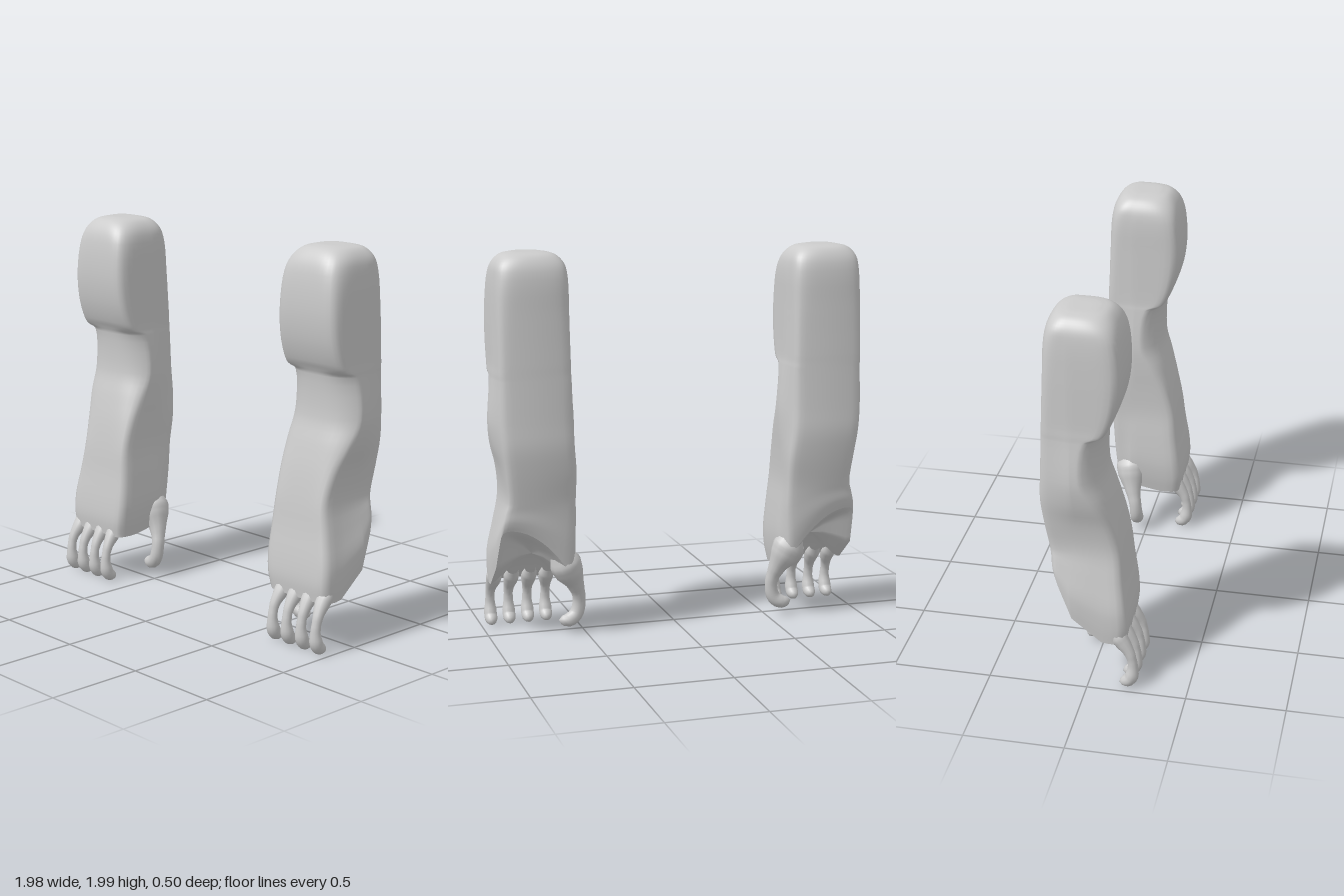
import * as THREE from 'three';
import { mergeVertices } from 'three/addons/utils/BufferGeometryUtils.js';

const PER_SIDE = 14, COLS = PER_SIDE * 4, STEPS = 4;

// Arm sections, top to bottom: y, inner x, outer x, front z, back z, front corner z
const SECTIONS = [
  [2.0, 0.71, 0.86, 0.03, -0.11, 0.03],
  [1.985, 0.645, 0.915, 0.085, -0.165, 0.08],
  [1.94, 0.605, 0.952, 0.125, -0.2, 0.12],
  [1.87, 0.588, 0.966, 0.148, -0.218, 0.145],
  [1.7, 0.584, 0.972, 0.16, -0.225, 0.155],
  [1.55, 0.582, 0.972, 0.143, -0.23, 0.138],
  [1.44, 0.58, 0.972, 0.108, -0.234, 0.1],
  [1.4, 0.578, 0.974, 0.085, -0.235, 0.07],
  [1.37, 0.574, 0.975, 0.072, -0.236, 0.005],
  [1.16, 0.555, 0.992, 0.065, -0.245, -0.02],
  [1.03, 0.558, 0.974, 0.098, -0.25, 0.04],
  [0.9, 0.567, 0.937, 0.128, -0.237, 0.1],
  [0.75, 0.572, 0.92, 0.152, -0.212, 0.146],
  [0.6, 0.56, 0.945, 0.168, -0.203, 0.163],
  [0.45, 0.552, 0.974, 0.188, -0.198, 0.183],
  [0.35, 0.56, 0.976, 0.194, -0.19, 0.19],
  [0.265, 0.576, 0.97, 0.185, -0.18, 0.18],
];

// Rounded square walked from the front inner corner towards the outer side
function squarePoint(j, n) {
  const side = Math.floor(j / PER_SIDE) % 4, f = (j % PER_SIDE) / PER_SIDE * 2 - 1;
  const [a, b] = [[f, 1], [1, -f], [-f, -1], [-1, f]][side];
  const k = Math.pow(Math.abs(a) ** n + Math.abs(b) ** n, -1 / n);
  return [a * k, b * k];
}

function sectionPoint([y, xi, xo, zf, zb, zc], j) {
  // corners get sharper below the domed top
  const [u, v] = squarePoint(j, Math.min(14, 3 + (2 - y) * 20));
  const mid = -0.08, half = (xo - xi) / 2;
  // the back is narrower than the front and bulges a little in the middle
  const width = THREE.MathUtils.lerp(half, Math.min(half, 0.18), Math.max(0, -v));
  const front = zf - (zf - zc) * Math.abs(u) ** 3, back = zb + 0.015 * u * u;
  // below the wrist the back rises, more on the outer side, to open the palm
  const hand = Math.max(0, (0.75 - y) / 0.485);
  const lift = hand * (THREE.MathUtils.lerp(0.08, 0.335, (u + 1) / 2) + 0.08 * (1 - u * u));
  return new THREE.Vector3(
    (xi + xo) / 2 + u * width,
    y + lift * Math.max(0, (0.6 - v) / 1.6),
    mid + v * (v > 0 ? front - mid : mid - back));
}

// Skin through rings listed from top to bottom
function skin(rings) {
  const pos = rings.flat().flatMap(p => [p.x, p.y, p.z]), index = [];
  for (let i = 0; i < rings.length - 1; i++)
    for (let j = 0; j < COLS; j++) {
      const k = (j + 1) % COLS;
      const a = i * COLS + j, b = i * COLS + k, c = a + COLS, d = b + COLS;
      index.push(a, c, b, b, c, d);
    }
  const g = new THREE.BufferGeometry();
  g.setAttribute('position', new THREE.Float32BufferAttribute(pos, 3));
  g.setIndex(index);
  return g;
}

const shrink = (ring, centre, t, lift = 0) =>
  ring.map(p => p.clone().lerp(centre, t).add(new THREE.Vector3(0, lift, 0)));

// Tapered limb along a curve with interpolated radii and a rounded tip
function limb(points, radii) {
  const curve = new THREE.CatmullRomCurve3(points.map(p => new THREE.Vector3(...p)));
  const seg = 28, radial = 12;
  const g = new THREE.TubeGeometry(curve, seg, 1, radial);
  const p = g.attributes.position, v = new THREE.Vector3();
  for (let i = 0; i <= seg; i++) {
    const t = i / seg, s = t * (radii.length - 1), n = Math.min(Math.floor(s), radii.length - 2);
    const tip = Math.sqrt(Math.max(0, 1 - Math.max(0, (t - 0.86) / 0.14) ** 2));
    const r = THREE.MathUtils.lerp(radii[n], radii[n + 1], s - n) * tip;
    const c = curve.getPointAt(t);
    for (let j = 0; j <= radial; j++) {
      const q = i * (radial + 1) + j;
      v.fromBufferAttribute(p, q).sub(c).multiplyScalar(r).add(c);
      p.setXYZ(q, v.x, v.y, v.z);
    }
  }
  g.deleteAttribute('uv');
  g.deleteAttribute('normal');
  return mergeVertices(g, 1e-5);
}

function mirrored(source) {
  const g = source.clone().scale(-1, 1, 1), idx = g.index.array;
  for (let i = 0; i < idx.length; i += 3) [idx[i], idx[i + 1]] = [idx[i + 1], idx[i]];
  return g;
}

function armParts() {
  // Smooth curve down every column of the arm
  const columns = Array.from({ length: COLS }, (_, j) =>
    new THREE.CatmullRomCurve3(SECTIONS.map(s => sectionPoint(s, j))));
  const rows = (SECTIONS.length - 1) * STEPS;
  const rings = Array.from({ length: rows + 1 }, (_, i) => columns.map(c => c.getPoint(i / rows)));

  // Closed crown and hollow palm
  const crown = new THREE.Vector3(0.785, 2.0, -0.04);
  const body = skin([shrink(rings[0], crown, 1), shrink(rings[0], crown, 0.5), ...rings]);
  const rim = rings[rows], hollow = new THREE.Vector3(0.77, 0.44, -0.01);
  const palm = skin([rim, shrink(rim, hollow, 0.12, -0.006), shrink(rim, hollow, 0.35, 0.005),
    shrink(rim, hollow, 0.7, 0.012), shrink(rim, hollow, 1)]);

  const parts = [['arm', body], ['palm', palm]];

  // Four curled fingers with knobbly knuckles and tips
  [0.65, 0.748, 0.848, 0.946].forEach((x, i) => {
    const root = 0.775 + (x - 0.775) * 0.95;
    parts.push(['finger' + (i + 1), limb(
      [[root, 0.325, 0.12], [root, 0.265, 0.168], [x, 0.2, 0.21], [x, 0.12, 0.224],
        [x, 0.055, 0.208], [x, 0.03, 0.155]],
      [0.03, 0.042, 0.037, 0.028, 0.024, 0.026, 0.034, 0.034, 0.028])]);
  });

  // Hooked thumb on the inner side
  parts.push(['thumb', limb(
    [[0.635, 0.45, -0.1], [0.595, 0.36, -0.09], [0.555, 0.28, -0.075], [0.53, 0.19, -0.055],
      [0.545, 0.11, -0.05], [0.585, 0.08, -0.055], [0.64, 0.085, -0.06]],
    [0.06, 0.085, 0.075, 0.05, 0.037, 0.034, 0.036, 0.038, 0.032])]);
  return parts;
}

export function createModel() {
  const model = new THREE.Group();
  const material = new THREE.MeshStandardMaterial({ color: 0xcccccc, side: THREE.DoubleSide });
  const parts = armParts();
  for (const side of ['left', 'right']) {
    const arm = new THREE.Group();
    arm.name = side + 'Arm';
    for (const [name, source] of parts) {
      const g = side === 'left' ? source.clone() : mirrored(source);
      g.computeVertexNormals();
      const mesh = new THREE.Mesh(g, material);
      mesh.name = name;
      arm.add(mesh);
    }
    model.add(arm);
  }
  return model;
}
